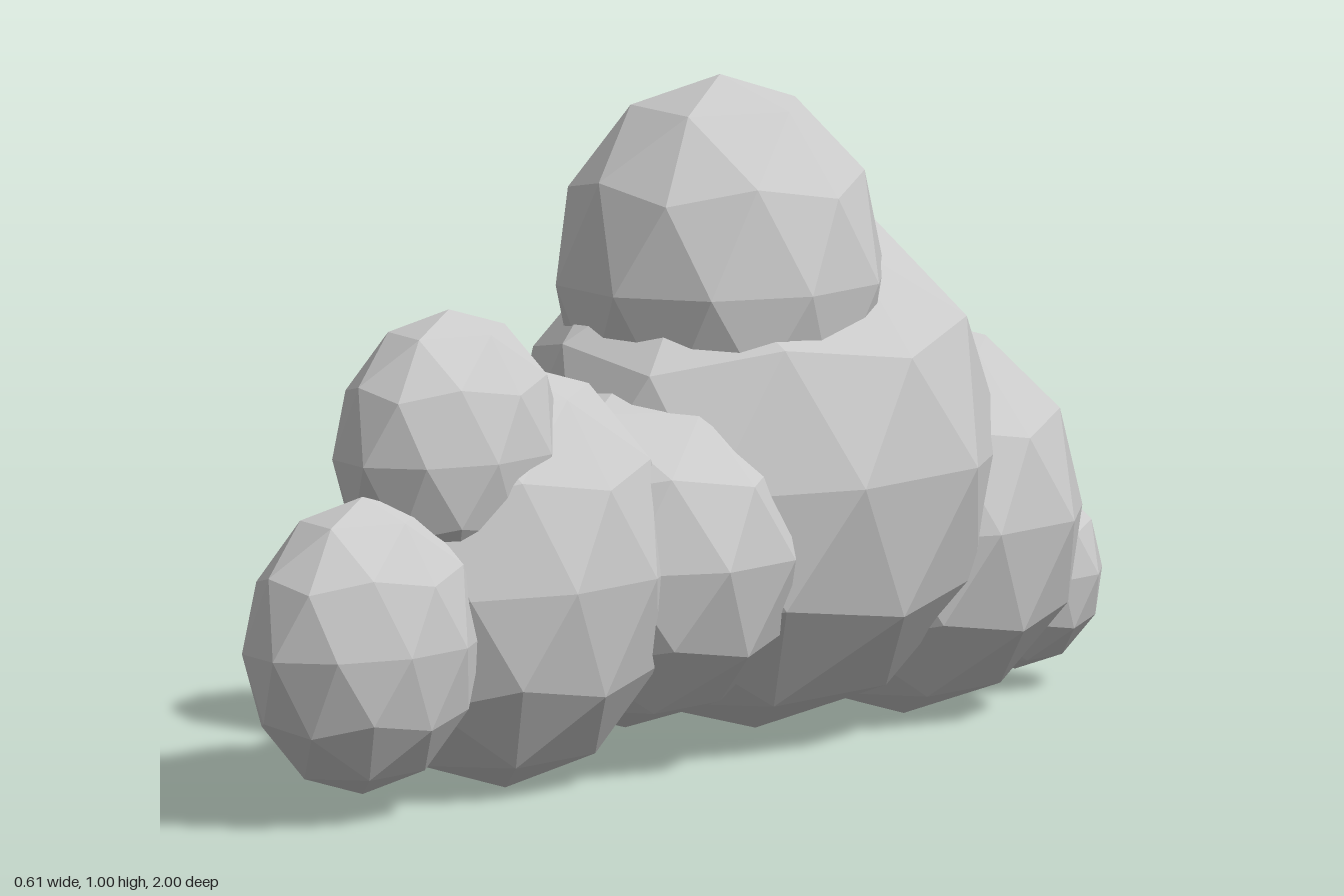
import * as THREE from 'three';

// Low-poly cloud: overlapping faceted ellipsoids, flattened across x.
// name, centre [x, y, z], radii [x, y, z]
const PUFFS = [
  ['frontPuff', [0.02, 0.26, 0.78], [0.149, 0.22, 0.22]],
  ['upperFrontPuff', [0.01, 0.52, 0.555], [0.147, 0.21, 0.21]],
  ['frontBodyPuff', [0.005, 0.32, 0.41], [0.216, 0.315, 0.315]],
  ['middlePuff', [0.008, 0.32, 0.12], [0.265, 0.26, 0.26]],
  ['mainPuff', [0, 0.415, -0.21], [0.32, 0.395, 0.445]],
  ['crownPuff', [0.01, 0.7, -0.11], [0.242, 0.3, 0.262]],
  ['backPuff', [0.025, 0.3, -0.54], [0.258, 0.295, 0.29]],
  ['tailPuff', [-0.01, 0.175, -0.86], [0.127, 0.145, 0.14]],
];

export function createModel() {
  const cloud = new THREE.Group();
  cloud.name = 'cloud';
  const material = new THREE.MeshStandardMaterial({ color: 0xcccccc, flatShading: true });

  // 80-sided ball turned so that a corner sits at each pole
  const ball = new THREE.IcosahedronGeometry(1, 1);
  ball.rotateX(-Math.atan((1 + Math.sqrt(5)) / 2));
  ball.rotateY(Math.PI / 2);

  for (const [name, centre, radii] of PUFFS) {
    const puff = new THREE.Mesh(ball, material);
    puff.name = name;
    puff.position.set(...centre);
    puff.scale.set(...radii);
    cloud.add(puff);
  }
  return cloud;
}
